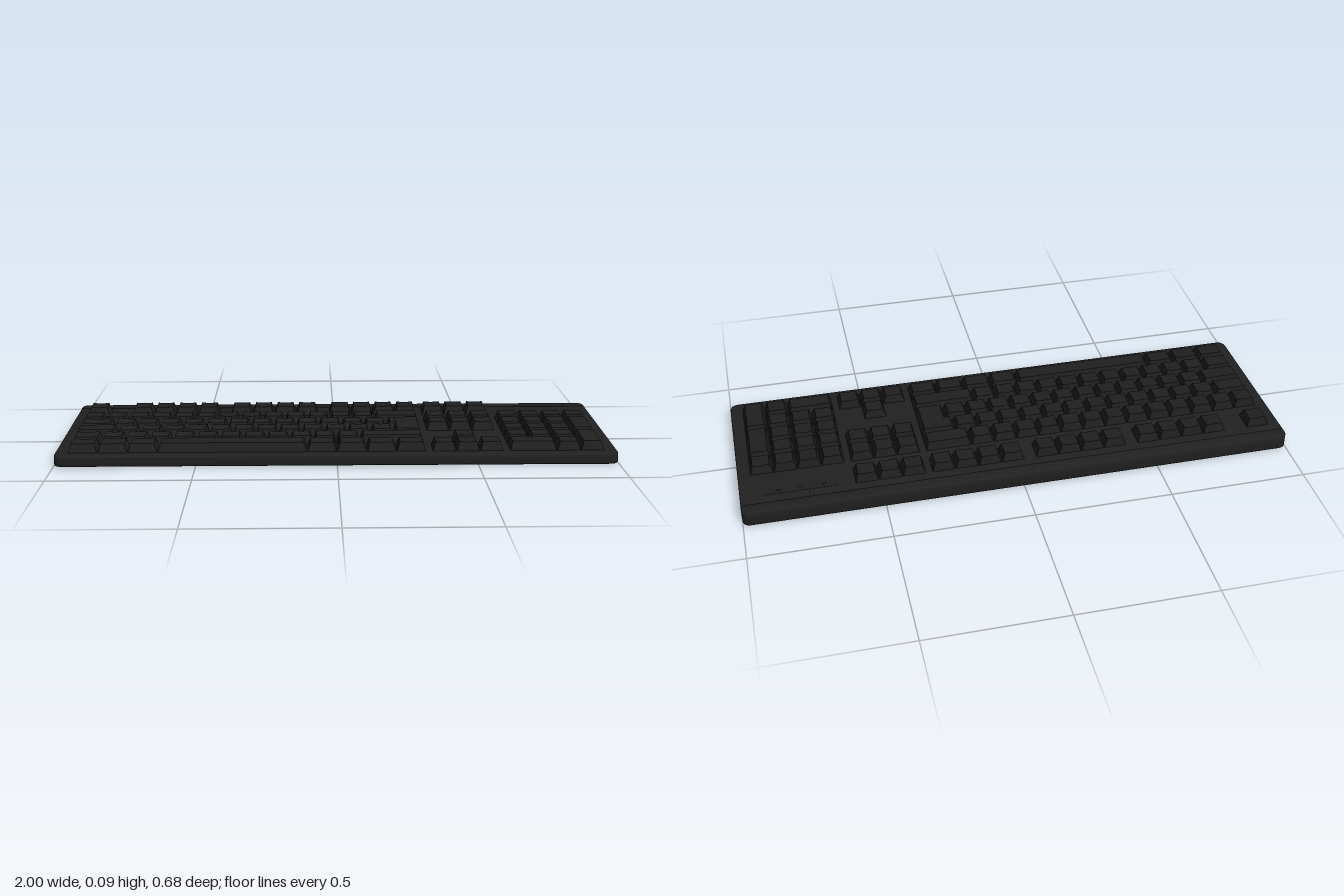
import * as THREE from 'three';
import { toCreasedNormals } from 'three/addons/utils/BufferGeometryUtils.js';

const U = 0.085;                                        // one key pitch
const ROWS = [-0.213, -0.083, 0.0015, 0.086, 0.1705, 0.255]; // row centres in z
const deckY = z => 0.0485 - 0.0285 * z;                 // sloped case top
const keyTopY = z => 0.081 - 0.033 * z;                 // sloped key tops

function mat(name, color) {
  const m = new THREE.MeshStandardMaterial({ color });
  m.name = name;
  return m;
}

function add(parent, name, geometry, material) {
  const mesh = new THREE.Mesh(geometry, material);
  mesh.name = name;
  parent.add(mesh);
  return mesh;
}

// Bevelled slab with its own back and front corner radii and a sloping top
function slab(halfX, zBack, zFront, rBack, rFront, bottom, topY, bevel) {
  const w = halfX - bevel, f = -zFront + bevel, b = -zBack - bevel;
  const s = new THREE.Shape();
  s.moveTo(-w + rFront, f);
  s.lineTo(w - rFront, f);
  s.quadraticCurveTo(w, f, w, f + rFront);
  s.lineTo(w, b - rBack);
  s.quadraticCurveTo(w, b, w - rBack, b);
  s.lineTo(-w + rBack, b);
  s.quadraticCurveTo(-w, b, -w, b - rBack);
  s.lineTo(-w, f + rFront);
  s.quadraticCurveTo(-w, f, -w + rFront, f);
  const h = 0.04;
  const geo = new THREE.ExtrudeGeometry(s, {
    depth: h - 2 * bevel, bevelEnabled: true, bevelThickness: bevel,
    bevelSize: bevel, bevelSegments: 3, curveSegments: 6,
  });
  geo.rotateX(-Math.PI / 2);
  geo.translate(0, bevel, 0);
  const p = geo.attributes.position;
  for (let i = 0; i < p.count; i++) {
    const y = p.getY(i);
    p.setY(i, y > h / 2 ? y - h + topY(p.getZ(i)) : y + bottom);
  }
  return toCreasedNormals(geo, 0.6);
}

// Tapered keycap, dished across its width
function keyGeometry(x0, x1, z0, z1, dish) {
  const w = x1 - x0 - 0.002, d = z1 - z0 - 0.002;
  const cx = (x0 + x1) / 2, cz = (z0 + z1) / 2;
  const geo = new THREE.BoxGeometry(w, 1, d, 6, 1, 1);
  const p = geo.attributes.position;
  for (let i = 0; i < p.count; i++) {
    const t = p.getX(i) / (w / 2), side = p.getZ(i);
    if (p.getY(i) > 0) {
      const z = cz + side + (side > 0 ? -0.014 : 0.008);
      p.setXYZ(i, cx + t * (w / 2 - 0.011), keyTopY(z) - dish * (1 - t * t), z);
    } else {
      p.setXYZ(i, cx + p.getX(i), deckY(cz + side) - 0.003, cz + side);
    }
  }
  return toCreasedNormals(geo, 0.5);
}

export function createModel() {
  const model = new THREE.Group();
  model.name = 'keyboard';
  const caseMat = mat('case black', 0x212121);
  const keyMat = mat('key black', 0x202020);
  const lightMat = mat('indicator dark', 0x191919);

  // Case: sloped deck, rear strip behind a groove, flat underside
  const body = new THREE.Group();
  body.name = 'case';
  model.add(body);
  add(body, 'deck', slab(1, -0.29, 0.34, 0.001, 0.028, 0.001, deckY, 0.005), caseMat);
  add(body, 'rearStrip', slab(1, -0.338, -0.289, 0.024, 0.001, 0.001, () => 0.058, 0.005), caseMat);
  add(body, 'underside', slab(0.994, -0.332, 0.334, 0.024, 0.024, 0, () => 0.02, 0.002), caseMat);

  // Adds a key: row index, left edge and width in pitches, rows spanned
  function key(group, left, row, at, width = 1, span = 1, name = 'key') {
    const x = left + at * U, z = ROWS[row] - U / 2;
    const dish = width > 1.5 || span > 1 ? 0 : 0.002;
    add(group, name, keyGeometry(x, x + width * U, z, z + span * U, dish), keyMat);
  }
  function block(name) {
    const g = new THREE.Group();
    g.name = name;
    model.add(g);
    return g;
  }
  const ones = n => Array(n).fill(1);

  // Main typing block, rows given as key widths
  const MAIN = -0.956;
  const typing = block('typingKeys');
  [
    [...ones(13), 2],
    [1.5, ...ones(12)],
    [1.75, ...ones(12)],
    [1.25, ...ones(11), 2.75],
    [1.25, 1.25, 1.25, 6.25, 1.25, 1.25, 1.25, 1.25],
  ].forEach((widths, r) => {
    let at = 0;
    for (const w of widths) {
      key(typing, MAIN, r + 1, at, w, 1, w > 6 ? 'spaceBar' : 'key');
      at += w;
    }
  });
  // L-shaped enter key
  key(typing, MAIN, 2, 13.75, 1.25, 2, 'enterKey');
  key(typing, MAIN, 2, 13.5, 1.5, 1, 'enterKeyUpper');

  // Top row: escape and three groups of four
  const topRow = block('topRowKeys');
  key(topRow, MAIN, 0, 0, 1, 1, 'escapeKey');
  for (const start of [2, 6.5, 11])
    for (let i = 0; i < 4; i++) key(topRow, MAIN, 0, start + i);

  // Navigation keys and arrows
  const NAV = 0.34;
  const navigation = block('navigationKeys');
  for (const row of [0, 1, 2, 5])
    for (let i = 0; i < 3; i++) key(navigation, NAV, row, i, 1, 1, row === 5 ? 'arrowKey' : 'key');
  key(navigation, NAV, 4, 1, 1, 1, 'arrowKey');

  // Number pad
  const PAD = 0.616;
  const pad = block('numberPad');
  for (let row = 1; row <= 4; row++)
    for (let i = 0; i < 3; i++) key(pad, PAD, row, i);
  key(pad, PAD, 1, 3);
  key(pad, PAD, 2, 3, 1, 2, 'padPlusKey');
  key(pad, PAD, 4, 3, 1, 2, 'padEnterKey');
  key(pad, PAD, 5, 0, 2, 1, 'padZeroKey');
  key(pad, PAD, 5, 2);

  // Indicator panel above the number pad
  const panel = block('indicatorPanel');
  panel.position.set(0.785, deckY(-0.225), -0.225);
  panel.rotation.x = Math.atan(0.0285);
  add(panel, 'panelPlate', new THREE.BoxGeometry(0.26, 0.002, 0.05), caseMat);
  for (const x of [-0.08, 0, 0.08]) {
    const lamp = add(panel, 'indicatorLight', new THREE.BoxGeometry(0.018, 0.002, 0.006), lightMat);
    lamp.position.set(x, 0.001, -0.005);
  }
  return model;
}
